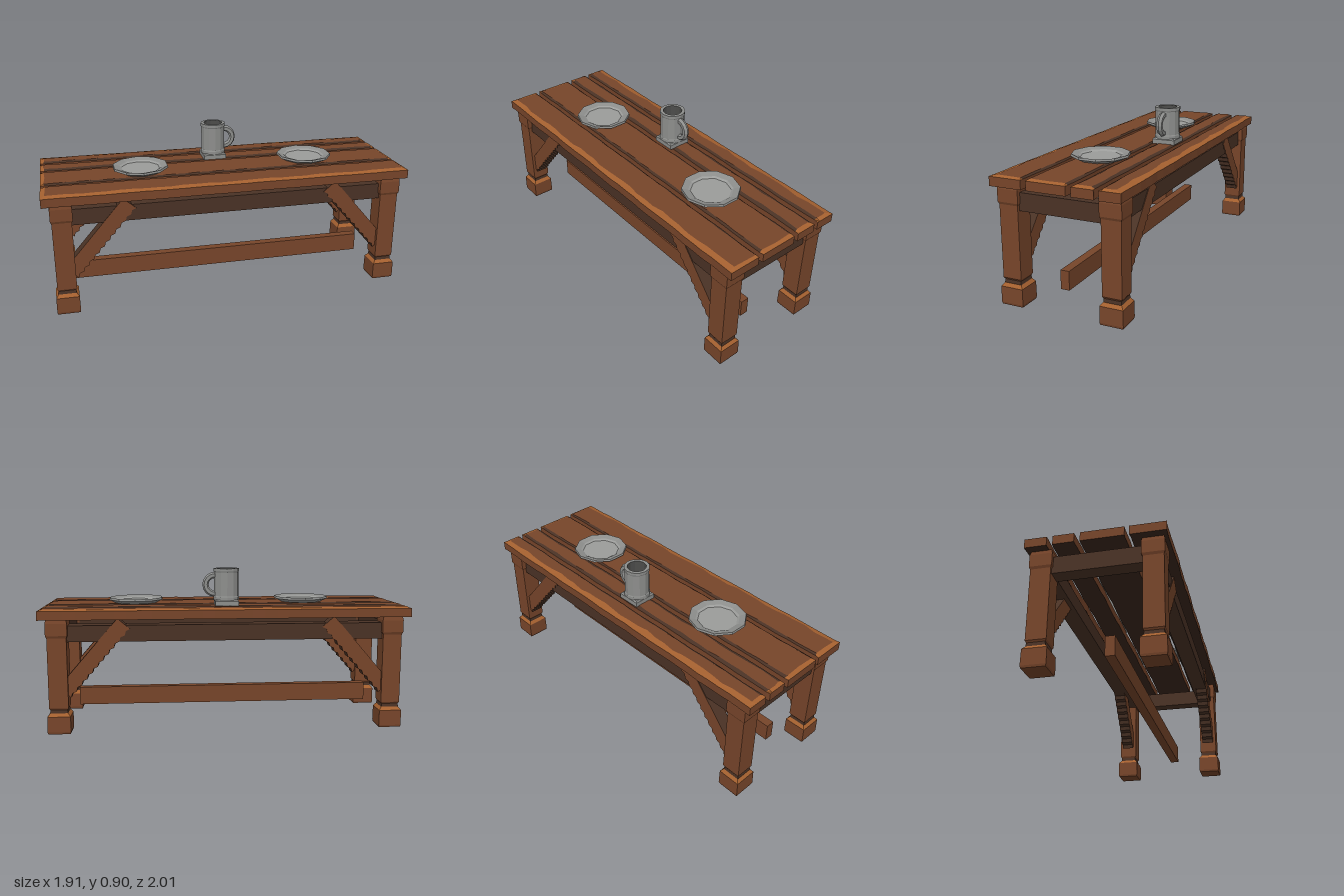
import * as THREE from 'three';

const mat = (name, color) => {
  const m = new THREE.MeshStandardMaterial({ color, flatShading: true });
  m.name = name;
  return m;
};

export function createModel() {
  const wood = mat('wood', 0x77452a);
  const worn = mat('wornWood', 0xa4602f);
  const dark = mat('darkWood', 0x4a3225);
  const shade = mat('undersideWood', 0x3a271d);
  const pewter = mat('pewter', 0x8d8e8c);
  const paleRim = mat('pewterRim', 0x9b9c9a);
  const deep = mat('mugInside', 0x4c4c4a);

  const model = new THREE.Group();
  model.name = 'tableWithTableware';
  const table = new THREE.Group();
  table.name = 'table';
  table.rotation.y = 0.833;
  model.add(table);

  const add = (name, geo, material, x = 0, y = 0, z = 0, parent = table) => {
    const m = new THREE.Mesh(geo, material);
    m.name = name;
    m.position.set(x, y, z);
    parent.add(m);
    return m;
  };
  const lathe = (pts, sides, phi = 0) =>
    new THREE.LatheGeometry(pts.map(p => new THREE.Vector2(...p)), sides, phi);
  // Square post from [half width, height] pairs
  const post = pts => lathe(pts.map(([h, y]) => [h * Math.SQRT2, y]), 4, Math.PI / 4);
  const wave = (x, k) => 0.6 * Math.sin(x * 17 + k * 2.3) + 0.4 * Math.sin(x * 41 + k * 5.1);

  // Rough board: wavy long edges and bevels that carry their own colours
  function board(name, len, h, z0, z1, y, back, front, backMat, frontMat, seed) {
    const w = z1 - z0, n = 30;
    const geo = new THREE.BoxGeometry(len, h, w, n, 1, 4);
    const p = geo.attributes.position;
    for (let i = 0; i < p.count; i++) {
      let x = p.getX(i), z = p.getZ(i);
      const f = Math.round(z / w * 4), c = Math.round((x / len + 0.5) * n);
      const top = p.getY(i) > 0;
      const k = seed + f;
      if (f === -2) z = -w / 2 + 0.003 * wave(x, k);
      if (f === -1) z = -w / 2 + back * (1 + 0.3 * wave(x, k));
      if (f === 1) z = w / 2 - front * (1 + 0.3 * wave(x, k));
      if (f === 2) z = w / 2 + 0.003 * wave(x, k);
      if (c === 1) x = -len / 2 + 0.022 + 0.006 * wave(z * 4, k);
      if (c === n - 1) x = len / 2 - 0.022 + 0.006 * wave(z * 4, k);
      if (top && (Math.abs(f) === 2 || c === 0 || c === n)) p.setY(i, h / 2 - 0.008);
      p.setX(i, x);
      p.setZ(i, z);
    }
    // Rows of the upper face run along the board, so each splits into end, middle, end
    const old = geo.groups.slice();
    geo.clearGroups();
    old.forEach((g, i) => {
      if (i !== 2) return geo.addGroup(g.start, g.count, i === 3 ? 2 : 0);
      for (let r = 0; r < 4; r++) {
        const s = g.start + r * n * 6;
        geo.addGroup(s, 6, 1);
        geo.addGroup(s + 6, (n - 2) * 6, r === 0 ? 3 : r === 3 ? 4 : 0);
        geo.addGroup(s + (n - 1) * 6, 6, 1);
      }
    });
    geo.computeVertexNormals();
    return add(name, geo, [wood, worn, shade, backMat, frontMat], 0, y, (z0 + z1) / 2);
  }

  // Table top
  board('backPlank', 2.06, 0.057, -0.357, -0.243, 0.664, 0.034, 0.014, worn, dark, 1);
  board('innerBackPlank', 2.06, 0.057, -0.215, -0.1, 0.664, 0.018, 0.02, dark, dark, 2);
  board('widePlank', 2.06, 0.057, -0.072, 0.149, 0.664, 0.012, 0.012, dark, dark, 3);
  board('frontPlank', 2.06, 0.057, 0.175, 0.357, 0.664, 0.012, 0.03, dark, worn, 4);

  // Knee brace with a rough sawn lower edge
  const from = new THREE.Vector2(0.9, 0.23), to = new THREE.Vector2(0.57, 0.61);
  const along = to.clone().sub(from), len = along.length();
  along.normalize();
  const across = new THREE.Vector2(-along.y, along.x);
  const at = (d, o) => from.clone().addScaledVector(along, d).addScaledVector(across, o);
  const outline = [at(0, -0.044), at(len, -0.044)];
  for (let i = 0; i <= 22; i++) outline.push(at(len * (1 - i / 22), i % 2 ? 0.036 : 0.047));
  const braceGeo = new THREE.ExtrudeGeometry(new THREE.Shape(outline), { depth: 0.07, bevelEnabled: false });
  braceGeo.translate(0, 0, -0.035);

  // Legs, braces and cross beams, the same at both ends
  for (const s of [1, -1]) {
    const end = new THREE.Group();
    end.name = s > 0 ? 'rightEnd' : 'leftEnd';
    end.rotation.y = s > 0 ? 0 : Math.PI;
    table.add(end);
    for (const z of [0.282, -0.282]) {
      const leg = new THREE.Group();
      leg.name = 'leg';
      leg.position.set(0.932, 0, z);
      end.add(leg);
      add('foot', post([[0, 0], [0.061, 0], [0.064, 0.012], [0.063, 0.098]]), wood, 0, 0, 0, leg);
      add('footBevel', post([[0.063, 0.098], [0.049, 0.116]]), worn, 0, 0, 0, leg);
      add('neck', post([[0.049, 0.116], [0.047, 0.135]]), dark, 0, 0, 0, leg);
      add('shaft', post([[0.047, 0.135], [0.053, 0.145], [0.053, 0.535]]), wood, 0, 0, 0, leg);
      add('cap', post([[0.053, 0.535], [0.059, 0.548], [0.059, 0.615], [0.054, 0.637], [0, 0.637]]), wood, 0, 0, 0, leg);
      add('brace', braceGeo, [wood, dark], 0, 0, z, end);
    }
    add('crossBeam', new THREE.BoxGeometry(0.08, 0.095, 0.5), dark, 0.93, 0.555, 0, end);
  }

  // Long rails and the low stretcher
  for (const z of [0.268, -0.268])
    add('rail', new THREE.BoxGeometry(1.8, 0.09, 0.09), dark, 0, 0.555, z);
  add('stretcher', new THREE.BoxGeometry(1.74, 0.105, 0.05), wood, -0.01, 0.128, 0.05);

  // Plates
  for (const [x, z] of [[0.512, 0.017], [-0.47, 0.021]]) {
    const plate = new THREE.Group();
    plate.name = 'plate';
    plate.position.set(x, 0.692, z);
    table.add(plate);
    add('plateUnderside', lathe([[0, 0], [0.12, 0], [0.161, 0.02], [0.158, 0.032]], 10), pewter, 0, 0, 0, plate);
    add('plateRim', lathe([[0.158, 0.032], [0.122, 0.022]], 10), pewter, 0, 0, 0, plate);
    add('plateDish', lathe([[0.122, 0.022], [0.11, 0.014], [0, 0.014]], 10), paleRim, 0, 0, 0, plate);
  }

  // Mug on a square base
  const mug = new THREE.Group();
  mug.name = 'mug';
  mug.position.set(-0.008, 0.69, -0.147);
  table.add(mug);
  add('mugBase', post([[0, 0], [0.067, 0], [0.067, 0.026], [0.06, 0.034], [0, 0.034]]), pewter, 0, 0, 0, mug);
  add('mugBody', lathe([[0.073, 0.03], [0.073, 0.048], [0.07, 0.054], [0.07, 0.188], [0.073, 0.194], [0.073, 0.21], [0.054, 0.21]], 12), pewter, 0, 0, 0, mug);
  add('mugInside', lathe([[0.054, 0.21], [0.05, 0.06], [0, 0.06]], 12), deep, 0, 0, 0, mug);
  const handle = new THREE.TorusGeometry(0.053, 0.018, 6, 8, Math.PI);
  handle.rotateZ(-Math.PI / 2);
  add('mugHandle', handle, pewter, 0.066, 0.118, 0, mug);

  return model;
}
